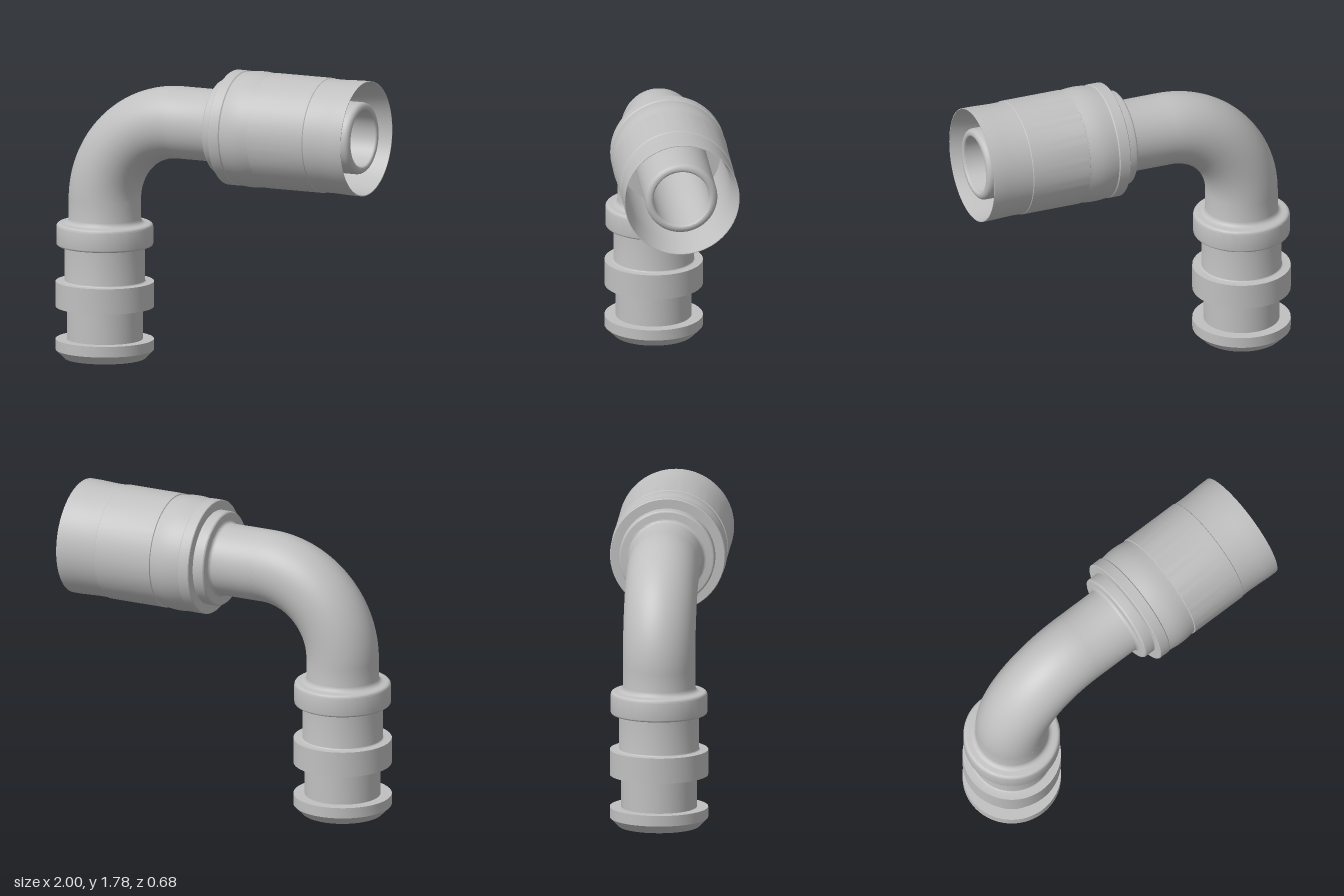
import * as THREE from 'three';
import { toCreasedNormals } from 'three/addons/utils/BufferGeometryUtils.js';

const PIPE = 0.212, BORE = 0.165;   // outer and inner pipe radii
const BEND = 0.493;                 // bend radius of the centre line
const AX = -0.713, AY = 1.436;      // axis of the upright and of the level leg
const CX = AX + BEND, CY = AY - BEND;

// Rounded corner: points on an arc about (r, h), angles in quarter turns
function arc(r, h, radius, from, to, steps = 4) {
  return Array.from({ length: steps + 1 }, (_, i) => {
    const a = (from + (to - from) * i / steps) * Math.PI / 2;
    return [r + radius * Math.cos(a), h + radius * Math.sin(a)];
  });
}

function lathe(points) {
  const geo = new THREE.LatheGeometry(points.map(p => new THREE.Vector2(...p)), 80);
  return toCreasedNormals(geo, 0.5);
}

export function createModel() {
  const group = new THREE.Group();
  const metal = new THREE.MeshStandardMaterial({ color: 0xc0c0c0, side: THREE.DoubleSide });
  metal.name = 'grey metal';

  function add(name, geo, x, y) {
    const mesh = new THREE.Mesh(geo, metal);
    mesh.name = name;
    mesh.position.set(x, y, 0);
    group.add(mesh);
  }

  // Upright spigot: chamfered foot, middle rib, rounded collar, bore
  add('spigot', lathe([
    [BORE, 0], [0.238, 0], [0.288, 0.05], [0.288, 0.113],
    [0.222, 0.113], [0.222, 0.305],
    [0.288, 0.305], [0.288, 0.455],
    [0.243, 0.455], ...arc(0.243, 0.463, 0.008, -1, -2), [0.235, 0.668],
    ...arc(0.271, 0.68, 0.012, -1, 0),
    ...arc(0.263, 0.782, 0.02, 0, 1),
    ...arc(0.242, 0.832, 0.03, -1, -2),
    [PIPE, CY], [BORE, CY], [BORE, 0],
  ]), AX, 0);

  // Quarter bend, outside and inside walls
  for (const [name, radius] of [['bend', PIPE], ['bendBore', BORE]]) {
    const geo = new THREE.TorusGeometry(BEND, radius, 64, 48, Math.PI / 2);
    add(name, geo.rotateZ(Math.PI / 2), CX, CY);
  }

  // Level pipe with flange and rounded nozzle end
  add('levelPipe', lathe([
    [BORE, CX], [PIPE, CX], [PIPE, 0.04],
    ...arc(0.232, 0.04, 0.02, 2, 1),
    ...arc(0.268, 0.072, 0.012, -1, 0),
    [0.28, 0.13], [PIPE, 0.13],
    ...arc(0.182, 0.955, 0.03, 0, 1),
    ...arc(0.18, 0.97, 0.015, 1, 2),
    [BORE, CX],
  ]).rotateZ(-Math.PI / 2), 0, AY);

  // Press sleeve: stop ring, shallow bulge, straight band, flared mouth
  const bulge = Array.from({ length: 11 }, (_, i) =>
    [0.332 + 0.009 * Math.sin(Math.PI * i / 10), 0.203 + 0.182 * i / 10]);
  add('sleeve', lathe([
    [PIPE, 0.13], [0.334, 0.13], [0.338, 0.134], [0.338, 0.197], [0.332, 0.203],
    ...bulge,
    [0.338, 0.388], [0.338, 0.746], [0.334, 0.75],
    [0.333, 0.82], [0.336, 0.9], [0.338, 0.94], [0.338, 1],
    [0.334, 1], [0.305, 0.82], [0.305, 0.2], [PIPE, 0.2],
  ]).rotateZ(-Math.PI / 2), 0, AY);

  return group;
}
